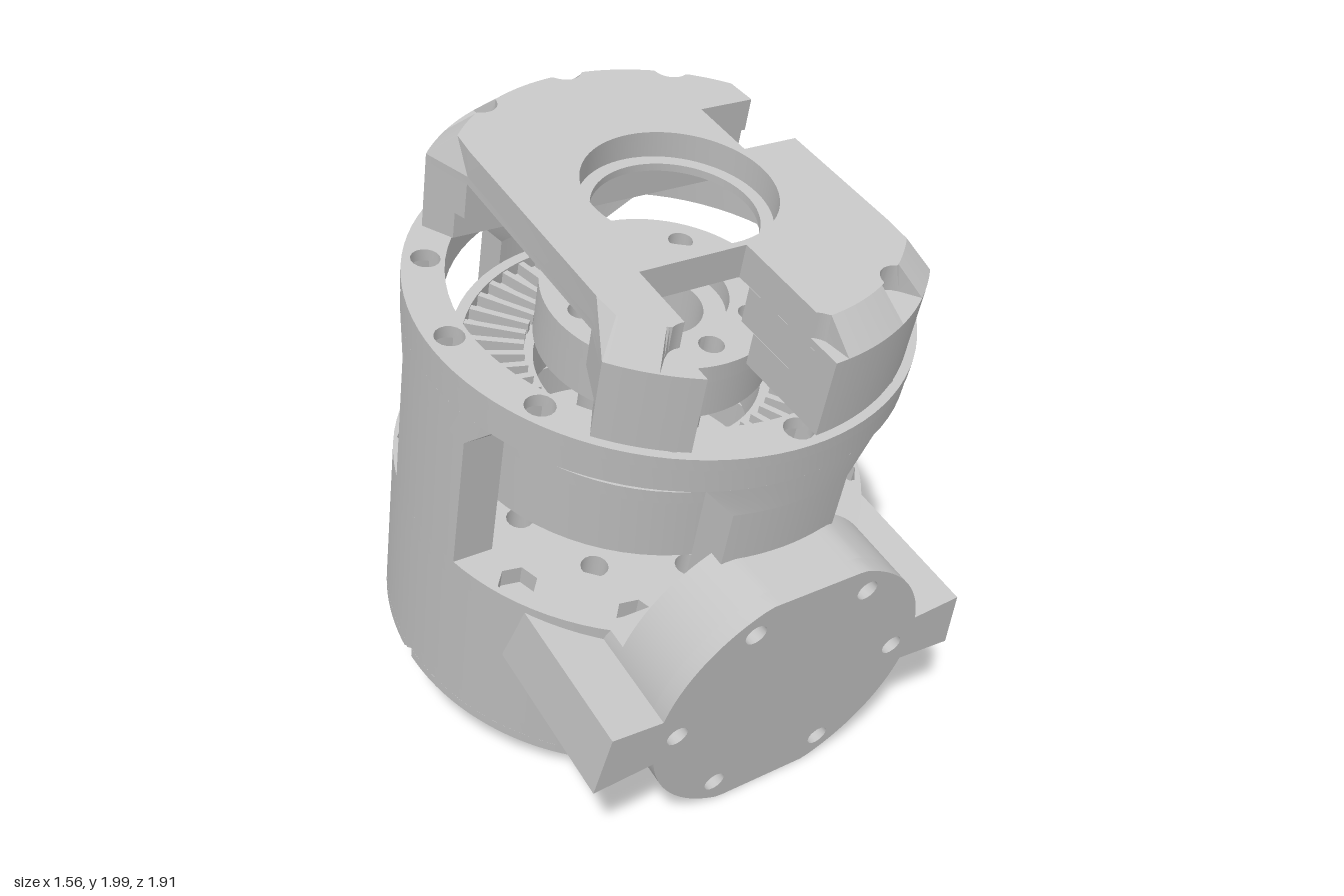
import * as THREE from 'three';
import { toCreasedNormals } from 'three/addons/utils/BufferGeometryUtils.js';

const PI = Math.PI, TAU = PI * 2;

// Points on an arc in plan: [x, depth towards the front]
function arc(r, a0, a1, n = 64) {
  const radius = typeof r === 'function' ? r : () => r;
  return Array.from({ length: n + 1 }, (_, i) => {
    const a = a0 + (a1 - a0) * i / n;
    return [radius(a) * Math.cos(a), radius(a) * Math.sin(a)];
  });
}
// Closed circle; the small phase keeps hole corners from lining up
const circle = (r, n = 72, x = 0, y = 0, phase = 0.013) =>
  arc(r, phase, phase + TAU * (1 - 1 / n), n - 1).map(([a, b]) => [a + x, b + y]);

// Ring of small round or six-sided holes
const holeRing = (count, ringR, r, n = 16, start = 0) =>
  Array.from({ length: count }, (_, i) => {
    const a = start + 0.002 + i * TAU / count;
    return circle(r, n, ringR * Math.cos(a), ringR * Math.sin(a), 0.17);
  });

// Counter-clockwise outlines keep the hole walls facing outwards
function extrude(points, holes, depth) {
  const toVec = list => {
    const v = list.map(([x, y]) => new THREE.Vector2(x, y));
    return THREE.ShapeUtils.isClockWise(v) ? v.reverse() : v;
  };
  const shape = new THREE.Shape(toVec(points));
  shape.holes = holes.map(h => new THREE.Path(toVec(h).reverse()));
  return new THREE.ExtrudeGeometry(shape, { depth, bevelEnabled: false });
}

export function createModel() {
  const grey = new THREE.MeshStandardMaterial({ color: 0xc4c4c4 });
  grey.name = 'machined grey';
  const model = new THREE.Group();
  model.name = 'tiltedGearHousing';
  const unit = new THREE.Group();
  unit.name = 'housing';
  unit.position.z = -0.25;
  const tilt = new THREE.Group();
  tilt.name = 'tilt';
  tilt.rotation.x = PI / 12;
  tilt.add(unit);
  model.add(tilt);

  function add(name, geometry) {
    const mesh = new THREE.Mesh(toCreasedNormals(geometry, 0.5), grey);
    mesh.name = name;
    unit.add(mesh);
    return mesh;
  }
  // Horizontal slab from height v0 to v1; the rule may move its vertices
  function slab(name, points, holes, v0, v1, rule) {
    const flip = list => list.map(([x, w]) => [x, -w]);
    const g = extrude(flip(points), holes.map(flip), v1 - v0);
    g.rotateX(-PI / 2).translate(0, v0, 0);
    if (rule) {
      const p = g.attributes.position;
      for (let i = 0; i < p.count; i++) {
        const [x, z] = rule(p.getX(i), p.getZ(i), p.getY(i) > (v0 + v1) / 2);
        p.setXYZ(i, x, p.getY(i), z);
      }
    }
    return add(name, g);
  }
  // Upright slab facing the front, from depth w0 to w1
  const upright = (name, points, holes, w0, w1) =>
    add(name, extrude(points, holes, w1 - w0).translate(0, 0, w0));

  // Lower barrel with four rim slots, blind bolt holes and hexagonal nut pockets
  const R = 0.775;
  const slotted = r => circle(a => Math.abs(Math.sin(2 * a)) < 0.045 ? 0.747 : r, 288);
  const bolts = holeRing(12, 0.7, 0.035);
  slab('barrelBottomEdge', slotted(0.765), [circle(0.55), ...bolts], 0.15, 0.165);
  slab('barrelSlotBand', slotted(R), [circle(0.55), ...bolts], 0.165, 0.2);
  slab('barrelBoltBand', circle(R, 96), [circle(0.55), ...bolts], 0.2, 0.25);
  slab('barrel', circle(R, 96), [circle(0.55)], 0.25, 0.72);
  slab('nutPocketFloor', circle(R, 96), [circle(0.57), ...holeRing(12, 0.705, 0.062, 6)], 0.72, 0.785);

  // Four pillars between the windows, flared under the upper ring
  const inner = 0.65, half = 0.2;
  const pillarPlan = [
    ...arc(R, Math.acos(half / R), PI - Math.acos(half / R), 10),
    ...arc(inner, PI - Math.acos(half / inner), Math.acos(half / inner), 10),
  ];
  for (let i = 0; i < 4; i++) {
    const post = slab('windowPillar', pillarPlan, [], 0.785, 1.27);
    const flare = slab('pillarFlare', pillarPlan, [], 1.27, 1.37, (x, z, top) => {
      if (!top) return [x, z];
      const r = Math.hypot(x, z);
      return [x * 1.45, Math.sqrt(r * r - x * x * 2.1025)];
    });
    post.rotation.y = flare.rotation.y = i * PI / 2;
  }

  // Upper ring and flange
  slab('upperRing', circle(R, 96), [circle(inner), ...holeRing(12, 0.708, 0.058, 6)], 1.37, 1.45);
  slab('flange', circle(R + 0.003, 96), [circle(inner), ...holeRing(12, 0.708, 0.045)], 1.45, 1.49);

  // Output disc underneath
  slab('outputDiscFace', circle(0.497), [
    ...holeRing(6, 0.38, 0.05), ...holeRing(6, 0.4, 0.03, 16, PI / 6),
  ], 0.11, 0.18);
  slab('outputDisc', circle(0.497), [], 0.18, 0.45);
  slab('discSeal', circle(0.555), [circle(0.48)], 0.3, 0.36);
  slab('lowerCarrier', circle(0.5), [circle(0.3), ...holeRing(8, 0.4, 0.045)], 0.45, 0.64);

  // Toothed ring seen through the windows
  slab('gearRing', circle(0.62), [circle(0.36)], 0.955, 1.17);
  slab('gearRim', circle(0.62), [circle(0.585)], 1.17, 1.215);
  for (let i = 0; i < 48; i++) {
    const tooth = add('gearTooth', new THREE.BoxGeometry(0.2, 0.05, 0.022).translate(0.49, 1.185, 0));
    tooth.rotation.y = i * TAU / 48;
  }

  // Central shaft and hub
  slab('shaft', circle(0.2, 48), [circle(0.14, 48)], 0.45, 1.3);
  slab('hub', circle(0.37), [circle(0.14, 48), ...holeRing(8, 0.28, 0.04, 16, PI / 2)], 1.27, 1.4);
  slab('hubRim', circle(0.37), [circle(0.21, 48), ...holeRing(8, 0.28, 0.04, 16, PI / 2)], 1.4, 1.46);

  // Cap: front and back walls
  const capR = 0.75, corner = Math.acos(0.55 / capR), waist = 0.49;
  const front = r => arc(r, corner, PI - corner, 140);
  const back = r => arc(r, PI + corner, TAU - corner, 140);
  for (const [v0, v1, w] of [[1.49, 1.6, 0.42], [1.6, 1.72, 0.36]]) {
    slab('capFrontWallLeft', [...front(capR).filter(p => p[0] >= 0.02), [0.02, w], [waist, w]], [], v0, v1);
    slab('capFrontWallRight', [[-0.33, w], ...front(capR).filter(p => p[0] <= -0.33), [-waist, w]], [], v0, v1);
    slab('capBackWall', [...back(capR), [waist, -w], [-waist, -w]], [], v0, v1);
  }

  // Cap: top plate with a front notch, a side notch and a central opening
  function capPlan(r) {
    const f = front(r);
    return [
      ...f.filter(p => p[0] >= 0.02), [0.02, 0.31], [-0.33, 0.31], ...f.filter(p => p[0] <= -0.33),
      [-waist, 0.36], [-waist, -0.36], ...back(r),
      [waist, -0.36], [waist, -0.344], [0.3, -0.344], [0.3, -0.106], [waist, -0.106], [waist, 0.36],
    ];
  }
  // Screw recesses bite into the rim at 60, 90 and 120 degrees, front and back
  function scalloped(a) {
    for (const deg of [60, 90, 120, 240, 270, 300]) {
      const t = 0.7 * (a - deg * PI / 180);
      if (Math.abs(t) < 0.062) return 0.69 - Math.sqrt(0.062 ** 2 - t * t);
    }
    return capR;
  }
  slab('capPlateUnderside', capPlan(capR), [circle(0.25)], 1.72, 1.745);
  slab('capPlate', capPlan(scalloped), [circle(0.29)], 1.745, 1.83, (x, z, top) => {
    const r = Math.hypot(x, z), k = top && r > 0.66 ? 0.66 / r : 1;
    return [x * k, z * k];
  });

  // Front mounting face: round plate with flats at top and bottom
  const cv = 0.643, flat = 0.445;
  const face = circle(0.475, 96).map(([x, y]) => [x, cv + Math.max(-flat, Math.min(flat, y))]);
  const faceHoles = holeRing(6, 0.4, 0.036).map(h => h.map(([x, y]) => [x, y + cv]));
  upright('mountFace', face, faceHoles, 0.9, 0.955);
  upright('mountBody', face, [], 0.7, 0.9);
  upright('mountRoot', face.map(([x, y]) => [x, Math.min(y, 0.785)]), [], 0.6, 0.7);

  // Ears on both sides of the mounting face
  for (const s of [-1, 1]) {
    upright('mountEar', [[0.44, 0.55], [0.665, 0.53], [0.635, 0.756], [0.44, 0.74]]
      .map(([x, y]) => [s * x, y]), [], 0.4, 0.955);
  }
  return model;
}
